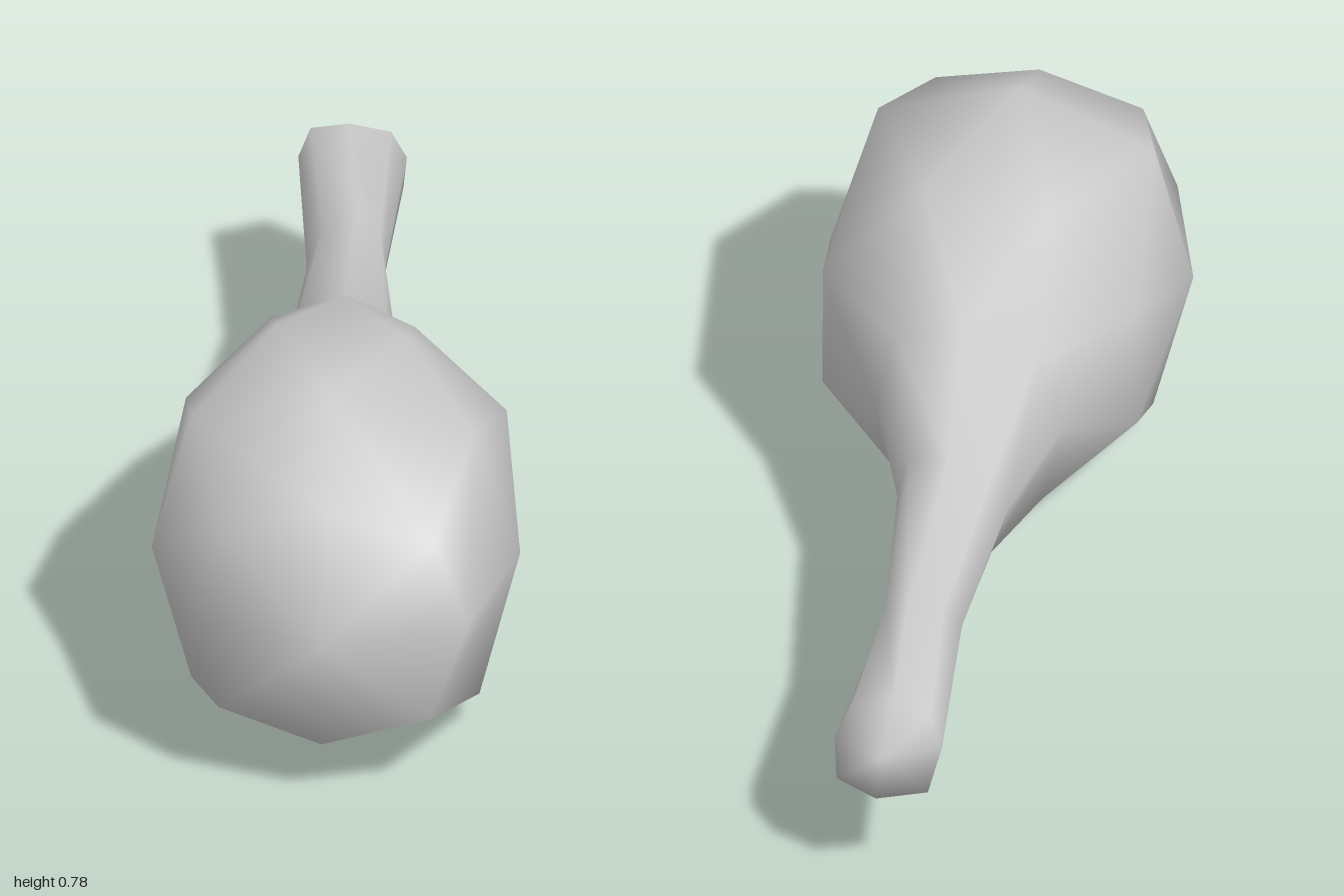
import * as THREE from 'three';

const SIDES = 8;
const STEP = (Math.PI * 2) / SIDES;

// Cross-sections from the rounded front to the end of the neck.
// left / right: [x, z], top / bottom: [y, z]
// over / under: squareness of the upper and lower half (1 = round)
// turned: corners sit half a step round, giving a flat top and sides
const RINGS = [
  { left: [-0.165, 0.94], right: [0.38, 0.82], top: [0.65, 0.88], bottom: [0.14, 0.93], over: 0.75, under: 0.75 },
  { left: [-0.305, 0.68], right: [0.41, 0.52], top: [0.78, 0.65], bottom: [0, 0.61], over: 0.7, under: 0.65 },
  { left: [-0.32, 0.35], right: [0.31, 0.22], top: [0.735, 0.34], bottom: [0.07, 0.33], over: 1, under: 1, turned: true },
  { left: [-0.26, 0.11], right: [0.115, 0.04], top: [0.635, 0.04], bottom: [0.165, 0.09], over: 0.75, under: 0.75 },
  { left: [-0.24, -0.13], right: [-0.02, -0.18], top: [0.49, -0.18], bottom: [0.245, -0.2], over: 0.75, under: 0.7 },
  { left: [-0.29, -0.5], right: [-0.14, -0.54], top: [0.43, -0.61], bottom: [0.26, -0.6], over: 0.8, under: 0.6 },
  { left: [-0.41, -0.9], right: [-0.2, -0.95], top: [0.445, -0.9], bottom: [0.26, -0.99], over: 0.8, under: 0.35 },
];
const FRONT_TIP = [0.13, 0.41, 1];
const BACK_TIP = [-0.32, 0.37, -1];

// Corner j of a tilted, slightly squared oval, counted from the top
function ringPoint({ left, right, top, bottom, over, under, turned }, j) {
  const angle = Math.PI / 2 + (j + (turned ? 0.5 : 0)) * STEP;
  const reach = turned ? 1 / Math.cos(STEP / 2) : 1;
  const c = Math.cos(angle), s = Math.sin(angle);
  const power = s < -0.001 ? under : over;
  const bend = (v) => Math.sign(v) * Math.pow(Math.abs(v), power) * reach;
  return [
    (left[0] + right[0]) / 2 + bend(c) * (right[0] - left[0]) / 2,
    (top[0] + bottom[0]) / 2 + bend(s) * (top[0] - bottom[0]) / 2,
    c * c * (c > 0 ? right : left)[1] + s * s * (s > 0 ? top : bottom)[1],
  ];
}

function gourdGeometry() {
  const positions = [], index = [];
  for (const ring of RINGS) {
    for (let j = 0; j < SIDES; j++) positions.push(...ringPoint(ring, j));
  }
  const front = RINGS.length * SIDES, back = front + 1;
  positions.push(...FRONT_TIP, ...BACK_TIP);

  const last = (RINGS.length - 1) * SIDES;
  for (let j = 0; j < SIDES; j++) {
    const k = (j + 1) % SIDES;
    for (let i = 0; i < RINGS.length - 1; i++) {
      const a = i * SIDES + j, b = i * SIDES + k, c = b + SIDES, d = a + SIDES;
      // split each quad along its shorter diagonal
      if (RINGS[i + 1].turned) index.push(a, d, b, b, d, c);
      else index.push(a, d, c, a, c, b);
    }
    index.push(front, j, k, back, last + k, last + j);
  }
  const geometry = new THREE.BufferGeometry();
  geometry.setAttribute('position', new THREE.Float32BufferAttribute(positions, 3));
  geometry.setIndex(index);
  geometry.computeVertexNormals();
  return geometry;
}

export function createModel() {
  const group = new THREE.Group();
  group.name = 'gourd';
  // Bulb and bent neck as one smooth skin
  const body = new THREE.Mesh(gourdGeometry(), new THREE.MeshStandardMaterial({ color: 0xcccccc }));
  body.name = 'gourdBody';
  group.add(body);
  return group;
}
